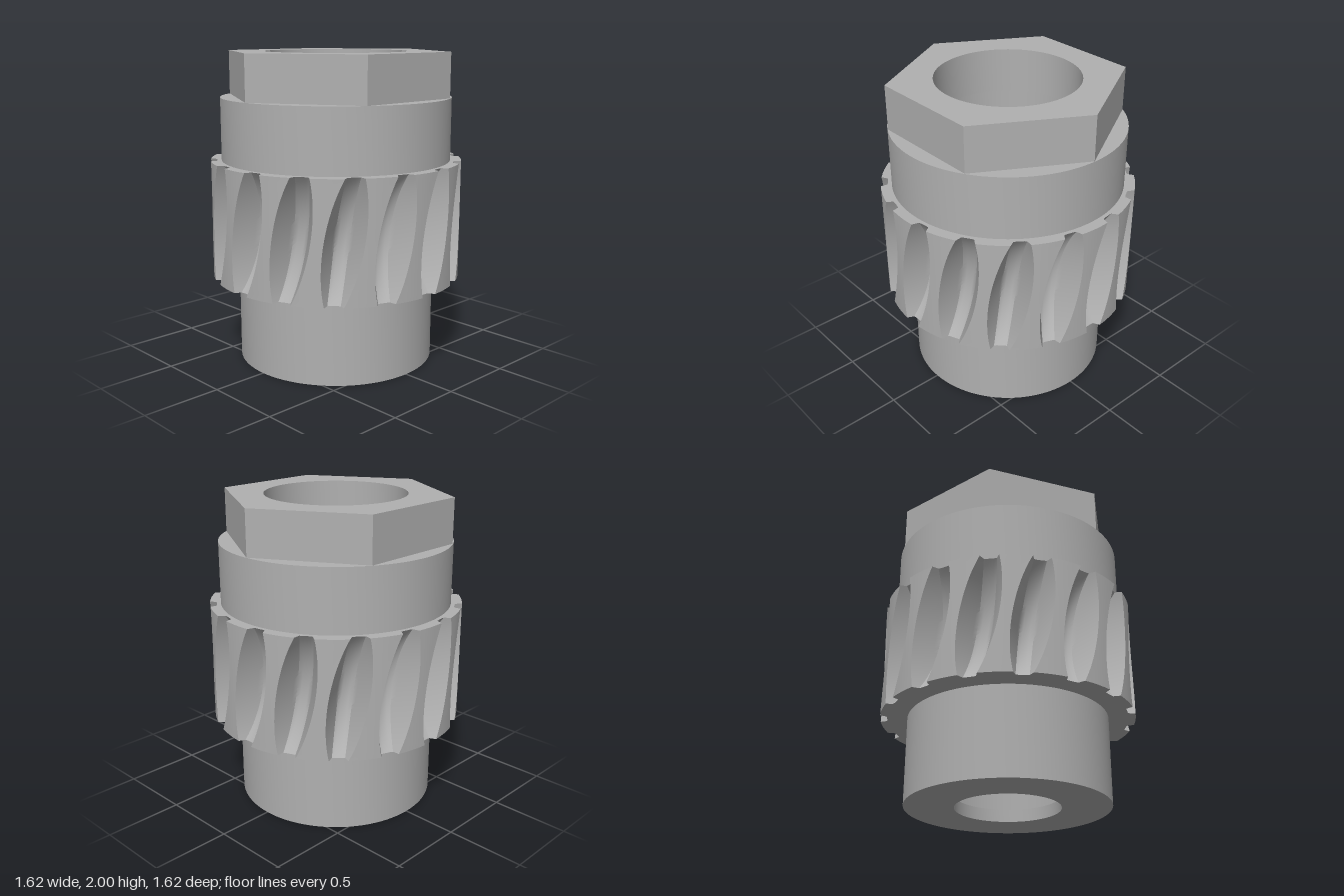
import * as THREE from 'three';
import { toCreasedNormals } from 'three/addons/utils/BufferGeometryUtils.js';

const TEETH = 16, TIP = 0.81, Y0 = 0.555, Y1 = 1.315, INNER = 0.6;
const MID = (Y0 + Y1) / 2, THROAT = 0.6, ROOT = 0.63;

// Outline of the toothed wheel at one height: gaps are deepest at mid-height and lean with the helix
function wheelSection(y) {
  const t = y - MID;
  const floor = ROOT + THROAT - Math.sqrt(THROAT * THROAT - t * t);
  const depth = TIP - floor;
  const flank = [1, 0.75, 0.5, 0.25, 0.08, 0].map((f) => {
    const d = depth * f;
    return [f === 0 ? 0.022 : 0.038 + 0.46 * d, floor + d];
  });
  const edge = flank[0][0] / TIP, pitch = (Math.PI * 2) / TEETH;
  const pts = [];
  for (let k = 0; k < TEETH; k++) {
    const mid = k * pitch + (0.065 + 0.16 * t) / TIP;
    flank.forEach(([w, r]) => pts.push([mid - w / r, r]));
    [...flank].reverse().forEach(([w, r]) => pts.push([mid + w / r, r]));
    // rounded tooth tip up to the next gap
    for (let i = 1; i < 4; i++) pts.push([mid + edge + ((pitch - 2 * edge) * i) / 4, TIP]);
  }
  return pts;
}

function wheelGeometry(rows = 24) {
  const pos = [], index = [];
  const addRing = (pts, y) => pts.forEach(([a, r]) => pos.push(r * Math.sin(a), y, r * Math.cos(a)));
  const inner = (pts) => pts.map(([a]) => [a, INNER]);
  const bottom = wheelSection(Y0), top = wheelSection(Y1);
  // lower face, toothed rim, upper face
  addRing(inner(bottom), Y0);
  for (let i = 0; i <= rows; i++) {
    const y = Y0 + ((Y1 - Y0) * i) / rows;
    addRing(wheelSection(y), y);
  }
  addRing(inner(top), Y1);
  const n = bottom.length;
  for (let j = 0; j < rows + 2; j++) {
    for (let i = 0; i < n; i++) {
      const a = j * n + i, b = j * n + ((i + 1) % n);
      index.push(a, b, b + n, a, b + n, a + n);
    }
  }
  const g = new THREE.BufferGeometry();
  g.setAttribute('position', new THREE.Float32BufferAttribute(pos, 3));
  g.setIndex(index);
  return toCreasedNormals(g, 0.6);
}

export function createModel() {
  const group = new THREE.Group();
  const steel = new THREE.MeshStandardMaterial({ color: 0xb0b0b0 });
  steel.name = 'steel grey';
  const add = (name, geometry) => {
    const mesh = new THREE.Mesh(geometry, steel);
    mesh.name = name;
    group.add(mesh);
    return mesh;
  };

  // Hub and collar with a stepped bore
  const profile = [
    [0.33, 0], [0.64, 0], [0.64, Y0], [INNER, Y0], [INNER, Y1], [0.74, Y1],
    [0.74, 1.715], [0.45, 1.715], [0.45, 0.08], [0.33, 0.08], [0.33, 0],
  ].map(([x, y]) => new THREE.Vector2(x, y));
  add('hubAndCollar', toCreasedNormals(new THREE.LatheGeometry(profile, 96), 0.6));

  // Worm wheel teeth
  add('wormWheel', wheelGeometry());

  // Hexagonal head with round bore
  const hex = new THREE.Shape();
  for (let i = 0; i < 6; i++) {
    const a = (i * Math.PI) / 3;
    hex[i ? 'lineTo' : 'moveTo'](0.737 * Math.cos(a), 0.737 * Math.sin(a));
  }
  hex.closePath();
  hex.holes.push(new THREE.Path().absarc(0, 0, 0.45, 0, Math.PI * 2, true));
  const head = new THREE.ExtrudeGeometry(hex, { depth: 2 - 1.715, bevelEnabled: false, curveSegments: 48 });
  head.rotateX(-Math.PI / 2).translate(0, 1.715, 0);
  add('hexHead', toCreasedNormals(head, 0.6));

  return group;
}
